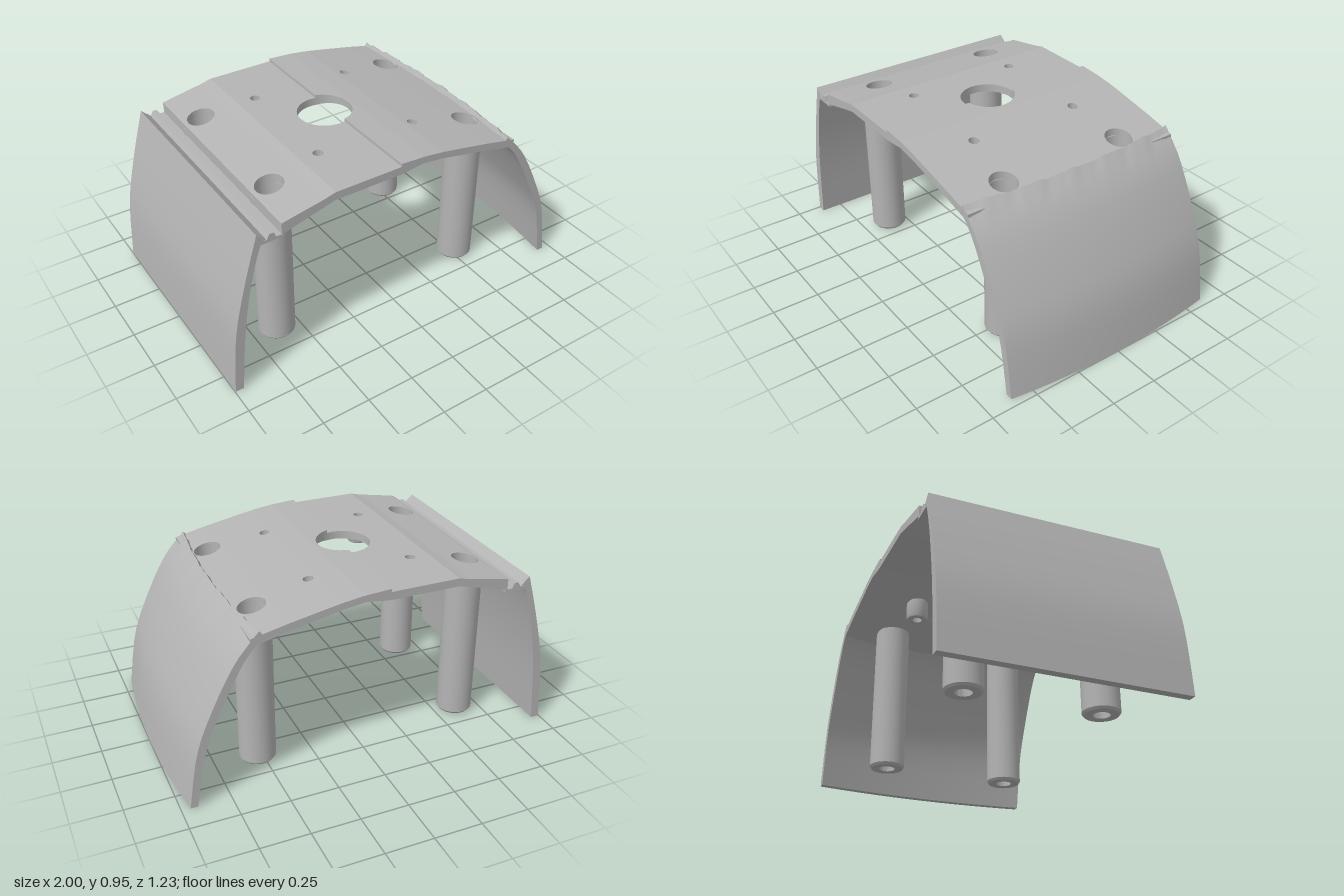
import * as THREE from 'three';
import { toCreasedNormals } from 'three/addons/utils/BufferGeometryUtils.js';

const HALF = 0.615; // half depth of the cover
const BIG = { x: -0.1, r: 0.14 }; // central opening
const SEAM = -0.07; // step in the deck, crossing the opening

export function createModel() {
  const model = new THREE.Group();
  const grey = new THREE.MeshStandardMaterial({ color: 0xb4b4b4, side: THREE.DoubleSide });
  grey.name = 'plain grey';

  const add = (name, geometry, parent = model) => {
    const mesh = new THREE.Mesh(geometry, grey);
    mesh.name = name;
    parent.add(mesh);
    return mesh;
  };

  // Move every vertex by a rule
  const warp = (geometry, rule) => {
    const p = geometry.attributes.position;
    const v = new THREE.Vector3();
    for (let i = 0; i < p.count; i++) {
      v.fromBufferAttribute(p, i);
      rule(v);
      p.setXYZ(i, v.x, v.y, v.z);
    }
    return toCreasedNormals(geometry, 0.45);
  };

  // Cross-section in x and y, run along the depth
  const run = (points, rule = () => {}, steps = 1) => {
    const geometry = new THREE.ExtrudeGeometry(new THREE.Shape(points), {
      depth: HALF * 2, steps, bevelEnabled: false,
    });
    geometry.translate(0, 0, -HALF);
    return warp(geometry, rule);
  };
  const smooth = (points, n) =>
    new THREE.SplineCurve(points.map(([x, y]) => new THREE.Vector2(x, y))).getPoints(n);

  // Deck strips: x, underside and top height at each end
  const strips = [
    [-0.71, 0.815, 0.88, -0.695, 0.825, 0.884],
    [-0.695, 0.825, 0.884, -0.49, 0.88, 0.922],
    [-0.49, 0.88, 0.922, -0.43, 0.895, 0.937],
    [-0.43, 0.895, 0.937, SEAM, 0.895, 0.937],
    [SEAM, 0.895, 0.953, 0.06, 0.91, 0.946],
    [0.06, 0.91, 0.946, 0.17, 0.896, 0.932],
    [0.17, 0.896, 0.932, 0.27, 0.876, 0.914],
    [0.27, 0.876, 0.914, 0.45, 0.84, 0.88],
    [0.45, 0.84, 0.88, 0.625, 0.8, 0.842],
  ];
  const posts = [[-0.62, 0.86], [0.525, 0.835]];
  const bosses = [[-0.33, 0.91], [0.22, 0.9]];
  const holes = [
    ...posts.map(([x]) => [x, 0.35, 0.07]),
    ...bosses.map(([x]) => [x, 0.305, 0.026]),
  ];

  const deck = new THREE.Group();
  deck.name = 'deck';
  model.add(deck);
  const a = Math.acos((SEAM - BIG.x) / BIG.r);
  const notch = BIG.r * Math.sin(a);
  for (const [x0, b0, t0, x1, b1, t1] of strips) {
    const s = new THREE.Shape();
    s.moveTo(x0, -HALF);
    s.lineTo(x1, -HALF);
    if (x1 === SEAM) {
      s.lineTo(x1, -notch);
      s.absarc(BIG.x, 0, BIG.r, -a, a, true);
    }
    s.lineTo(x1, HALF);
    s.lineTo(x0, HALF);
    if (x0 === SEAM) {
      s.lineTo(x0, notch);
      s.absarc(BIG.x, 0, BIG.r, a, -a, true);
    }
    s.closePath();
    for (const [x, z, r] of holes) {
      if (x < x0 || x > x1) continue;
      for (const side of [-1, 1]) {
        s.holes.push(new THREE.Path().absarc(x, side * z, r, 0, Math.PI * 2, true));
      }
    }
    const g = new THREE.ExtrudeGeometry(s, { depth: 1, bevelEnabled: false, curveSegments: 20 });
    g.rotateX(-Math.PI / 2);
    add('deckStrip', warp(g, (v) => {
      const k = (v.x - x0) / (x1 - x0);
      v.y = THREE.MathUtils.lerp(b0 + (b1 - b0) * k, t0 + (t1 - t0) * k, v.y);
    }), deck);
  }

  // Shallow swelling under the right-hand part of the deck
  const swell = new THREE.SphereGeometry(1, 28, 10, 0, Math.PI * 2, Math.PI / 2, Math.PI / 2);
  swell.scale(0.12, 0.038, 0.3);
  swell.rotateZ(-0.2);
  swell.translate(0.39, 0.868, 0);
  add('undersideSwelling', swell);

  // Groove with a small ridge beside the deck
  add('groove', run([
    [-0.825, 0.808], [-0.7, 0.808], [-0.7, 0.823], [-0.738, 0.823], [-0.75, 0.85],
    [-0.772, 0.85], [-0.785, 0.825], [-0.825, 0.825],
  ].map(([x, y]) => new THREE.Vector2(x, y))));

  // Curved side walls: outer line down, inner line back up
  add('rightWall', run([
    ...smooth([[-0.835, 0.87], [-0.91, 0.61], [-0.97, 0.34], [-0.997, 0]], 14),
    ...smooth([[-0.953, 0], [-0.922, 0.34], [-0.875, 0.61], [-0.82, 0.8], [-0.79, 0.83]], 14),
  ]));
  add('leftWall', run([
    ...smooth([[0.58, 0.87], [0.7, 0.735], [0.825, 0.5], [0.905, 0.29], [0.955, 0]], 14),
    ...smooth([[0.918, 0], [0.864, 0.289], [0.783, 0.49], [0.66, 0.727], [0.56, 0.84]], 14),
  ], (v) => {
    // bulges outward at mid depth, with a slightly ragged top
    v.x += 0.045 * (1 - (v.z / HALF) ** 2);
    if (v.y > 0.83) v.y += 0.008 * Math.sin(v.z * 47) * Math.sin(v.z * 19 + 1);
  }, 36));

  // Hollow posts with a screw recess, and short hollow bosses
  const lathe = (points) => toCreasedNormals(new THREE.LatheGeometry(
    points.map(([r, y]) => new THREE.Vector2(r, y)), 32).toNonIndexed(), 0.5);
  for (const z of [-1, 1]) {
    for (const [x, top] of posts) {
      add('post', lathe([
        [0.042, 0.76], [0.042, 0.008], [0.085, 0.008], [0.094, 0.02],
        [0.094, top], [0.07, top], [0.07, 0.76], [0.042, 0.76],
      ])).position.set(x, 0, z * 0.35);
    }
    for (const [x, top] of bosses) {
      add('boss', lathe([
        [0.026, top], [0.026, 0.79], [0.055, 0.79], [0.06, 0.8], [0.06, top], [0.026, top],
      ])).position.set(x, 0, z * 0.305);
    }
  }
  return model;
}
